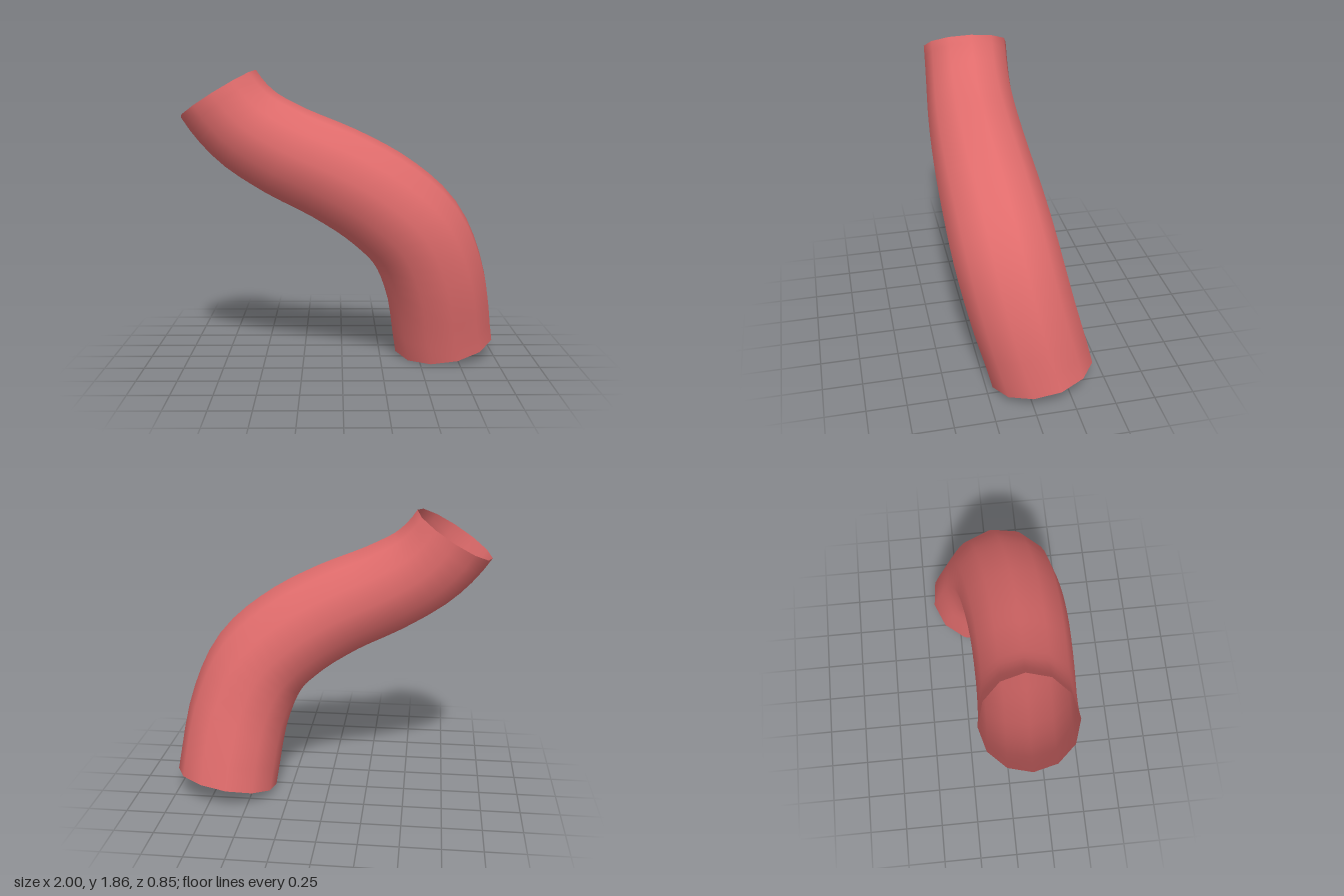
import * as THREE from 'three';

const SIDES = 12, RINGS = 24;

// Centre line; the first and last points only steer the direction of the open ends
const PATH = [
  [0.75, -0.32, -0.157],
  [0.675, 0.08, -0.105],
  [0.60, 0.53, 0.01],
  [0.47, 0.83, 0.075],
  [0.25, 1.04, 0.105],
  [-0.03, 1.21, 0.12],
  [-0.36, 1.365, 0.115],
  [-0.60, 1.515, 0.10],
  [-0.77, 1.715, 0.087],
  [-0.87, 1.95, 0.085],
].map((p) => new THREE.Vector3(...p));

function pipeGeometry() {
  const curve = new THREE.CatmullRomCurve3(PATH);
  const spans = PATH.length - 1;
  const positions = [], indices = [];
  const zAxis = new THREE.Vector3(0, 0, 1);

  for (let i = 0; i <= RINGS; i++) {
    const s = i / RINGS;
    const t = (1 + s * (spans - 2)) / spans;
    const centre = curve.getPoint(t);
    const tangent = curve.getPoint(t + 0.002).sub(curve.getPoint(t - 0.002)).normalize();
    const side = new THREE.Vector3().crossVectors(tangent, zAxis).normalize();
    const front = new THREE.Vector3().crossVectors(side, tangent);
    // Slightly wider at the bottom, with a small twist along the length
    const radius = 0.33 - 0.052 * THREE.MathUtils.smoothstep(s, 0.25, 0.95);
    const twist = 0.15 * (1 - s);
    for (let j = 0; j < SIDES; j++) {
      const a = (j / SIDES) * Math.PI * 2 + twist;
      const p = centre.clone()
        .addScaledVector(front, radius * Math.cos(a))
        .addScaledVector(side, radius * Math.sin(a));
      positions.push(p.x, p.y, p.z);
    }
  }

  for (let i = 0; i < RINGS; i++) {
    for (let j = 0; j < SIDES; j++) {
      const k = (j + 1) % SIDES;
      const a = i * SIDES + j, b = i * SIDES + k;
      indices.push(a, b, a + SIDES, b, b + SIDES, a + SIDES);
    }
  }

  const geometry = new THREE.BufferGeometry();
  geometry.setAttribute('position', new THREE.Float32BufferAttribute(positions, 3));
  geometry.setIndex(indices);
  geometry.computeVertexNormals();
  return geometry;
}

export function createModel() {
  const group = new THREE.Group();
  group.name = 'bentPipe';

  // Open-ended curved pipe
  const pipe = new THREE.Mesh(
    pipeGeometry(),
    new THREE.MeshStandardMaterial({ color: 0xe06c6c, side: THREE.DoubleSide })
  );
  pipe.name = 'pipe';
  group.add(pipe);
  return group;
}
